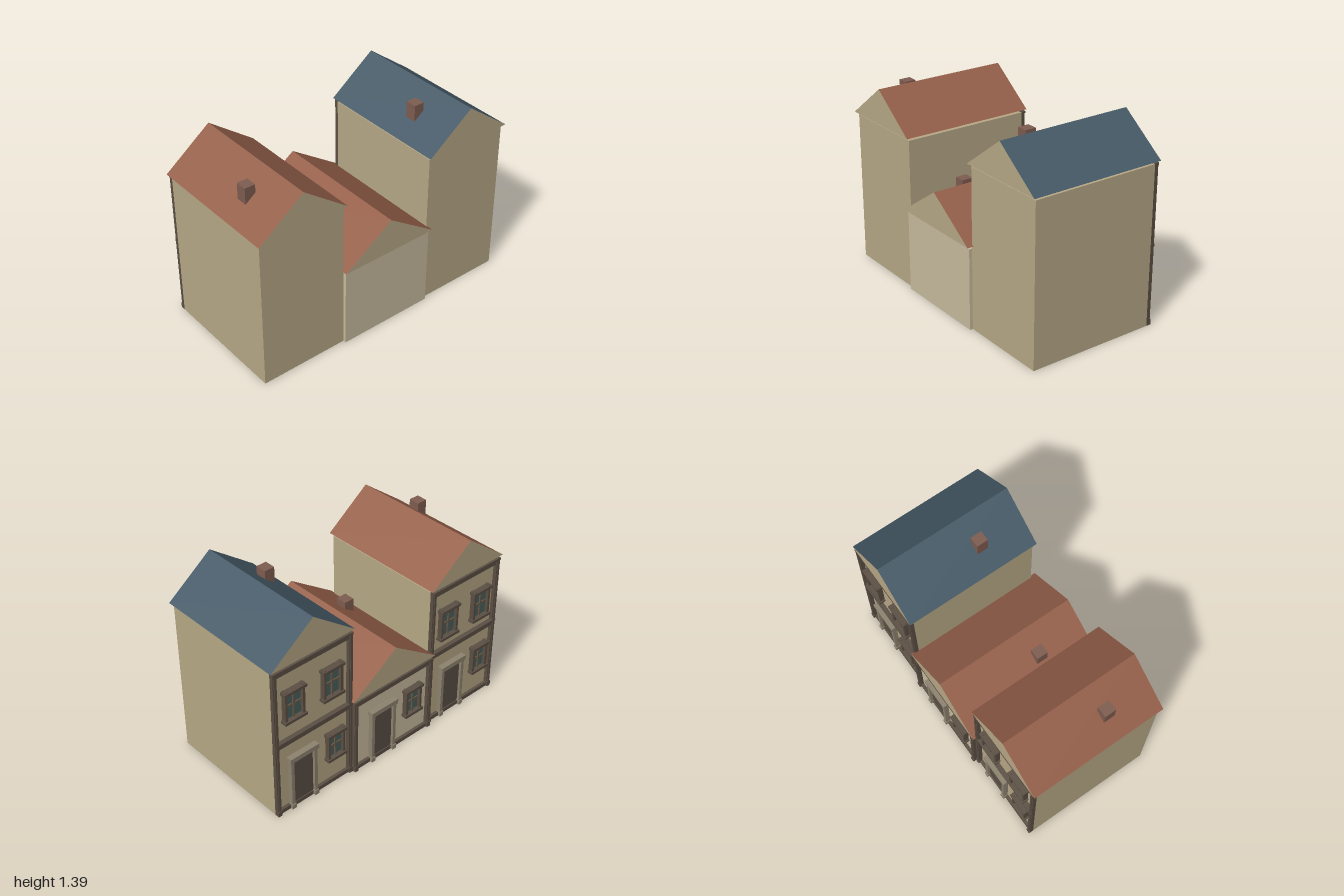
import * as THREE from 'three';

const mat = (color) => new THREE.MeshStandardMaterial({ color });
const tan = mat(0xb8a987), paleTan = mat(0xc9bd9f), timber = mat(0x5c5044), door = mat(0x5a4e44);
const stone = mat(0x8e836f), glass = mat(0x46605f), muntin = mat(0x6a5a47), brick = mat(0x7f5d51);
const redRoof = mat(0x95604a), blueRoof = mat(0x465a67);

// Box given by its lower and upper limits on each axis
function box(parent, name, material, x0, x1, y0, y1, z0, z1) {
  const mesh = new THREE.Mesh(new THREE.BoxGeometry(x1 - x0, y1 - y0, z1 - z0), material);
  mesh.position.set((x0 + x1) / 2, (y0 + y1) / 2, (z0 + z1) / 2);
  mesh.name = name;
  parent.add(mesh);
}

// Box on the facade: d0 and d1 are distances out from the wall, towards -z
function onWall(parent, name, material, wallZ, x0, x1, y0, y1, d0, d1) {
  box(parent, name, material, x0, x1, y0, y1, wallZ - d1, wallZ - d0);
}

function addWindow(house, wallZ, cx, y0, y1, half) {
  const g = new THREE.Group();
  g.name = 'window';
  const put = (name, m, ...r) => onWall(g, name, m, wallZ, ...r);
  const t = 0.018;
  put('glass', glass, cx - half + t, cx + half - t, y0 + t, y1 - t, 0, 0.012);
  for (const s of [-1, 1]) {
    const x = cx + s * (half - t);
    put('jamb', timber, x - t / 2, x + t / 2, y0, y1, 0, 0.035);
  }
  put('sill', timber, cx - half, cx + half, y0 + 0.004, y0 + 0.024, 0, 0.045);
  put('lintel', timber, cx - half, cx + half, y1 - 0.024, y1 - 0.004, 0, 0.045);
  put('mullion', muntin, cx - 0.006, cx + 0.006, y0 + t, y1 - t, 0, 0.022);
  const mid = (y0 + y1) / 2;
  put('glazingBar', muntin, cx - half + t, cx + half - t, mid - 0.006, mid + 0.006, 0, 0.02);
  house.add(g);
}

function addDoor(house, wallZ, cx) {
  const g = new THREE.Group();
  g.name = 'doorway';
  const put = (name, m, ...r) => onWall(g, name, m, wallZ, ...r);
  put('door', door, cx - 0.085, cx + 0.085, 0, 0.39, 0, 0.015);
  for (const s of [-1, 1]) {
    const x = cx + s * 0.095;
    put('doorPost', stone, x - 0.012, x + 0.012, 0, 0.39, 0, 0.034);
    put('postFoot', stone, x - 0.016, x + 0.016, 0, 0.035, 0, 0.04);
  }
  put('doorHeader', stone, cx - 0.115, cx + 0.115, 0.385, 0.42, 0, 0.042);
  house.add(g);
}

function addTimbers(house, wallZ, x0, x1, h, storeys) {
  const put = (name, ...r) => onWall(house, name, timber, wallZ, ...r);
  // Corner posts with a narrow raised strip and a foot
  for (const [a, b] of [[x0, x0 + 0.03], [x1 - 0.03, x1]]) {
    put('cornerPost', a, b, 0, h, 0, 0.027);
    put('postStrip', a + 0.008, b - 0.008, 0, h, 0.027, 0.032);
    put('postFoot', a, b, 0, 0.04, 0, 0.035);
  }
  put('baseBeam', x0, x1, 0, 0.03, 0, 0.022);
  // A beam with a thin cap at the head of each storey
  for (const top of storeys) {
    put('beam', x0, x1, top - 0.04, top, 0, 0.024);
    put('beamCap', x0, x1, top - 0.012, top + 0.004, 0, 0.032);
  }
}

function buildHouse({ name, cx, x0, x1, h, roofHalf, roofMaterial, wallMaterial, back, front, twoStorey }) {
  const house = new THREE.Group();
  house.name = name;
  box(house, 'walls', wallMaterial, x0, x1, 0, h, back, front);

  // Gabled roof prism, floating a little above the walls
  const base = h + 0.02, length = front - back + 0.055;
  const shape = new THREE.Shape();
  shape.moveTo(-roofHalf, 0).lineTo(roofHalf, 0).lineTo(0, 0.25).closePath();
  const roofGeometry = new THREE.ExtrudeGeometry(shape, { depth: length, bevelEnabled: false });
  const roof = new THREE.Mesh(roofGeometry, [tan, roofMaterial]);
  roof.name = 'gabledRoof';
  roof.position.set(cx, base, back - 0.032);
  house.add(roof);

  box(house, 'chimney', brick, cx - 0.21, cx - 0.135, base - 0.003, base + 0.207, 0.12, 0.2);

  // Timbered facade
  addTimbers(house, back, x0, x1, h, twoStorey ? [0.575, h] : [h]);
  addDoor(house, back, cx + 0.093);
  addWindow(house, back, cx - 0.18, 0.2, 0.425, 0.08);
  if (twoStorey) {
    const top = h - 0.172;
    for (const s of [-1, 1]) addWindow(house, back, cx + s * 0.154, top - 0.245, top, 0.087);
  }
  return house;
}

export function createModel() {
  const model = new THREE.Group();
  model.name = 'terraceOfHouses';
  const tall = { wallMaterial: tan, back: -0.45, front: 0.47, roofHalf: 0.332, twoStorey: true };
  model.add(
    buildHouse({ ...tall, name: 'rightHouse', cx: -0.668, x0: -0.983, x1: -0.35, h: 1.073, roofMaterial: redRoof }),
    buildHouse({ ...tall, name: 'leftHouse', cx: 0.668, x0: 0.35, x1: 0.983, h: 1.125, roofMaterial: blueRoof }),
    buildHouse({
      name: 'middleHouse', cx: 0, x0: -0.35, x1: 0.35, h: 0.573, roofHalf: 0.366,
      roofMaterial: redRoof, wallMaterial: paleTan, back: -0.472, front: 0.492, twoStorey: false,
    }),
  );
  return model;
}
